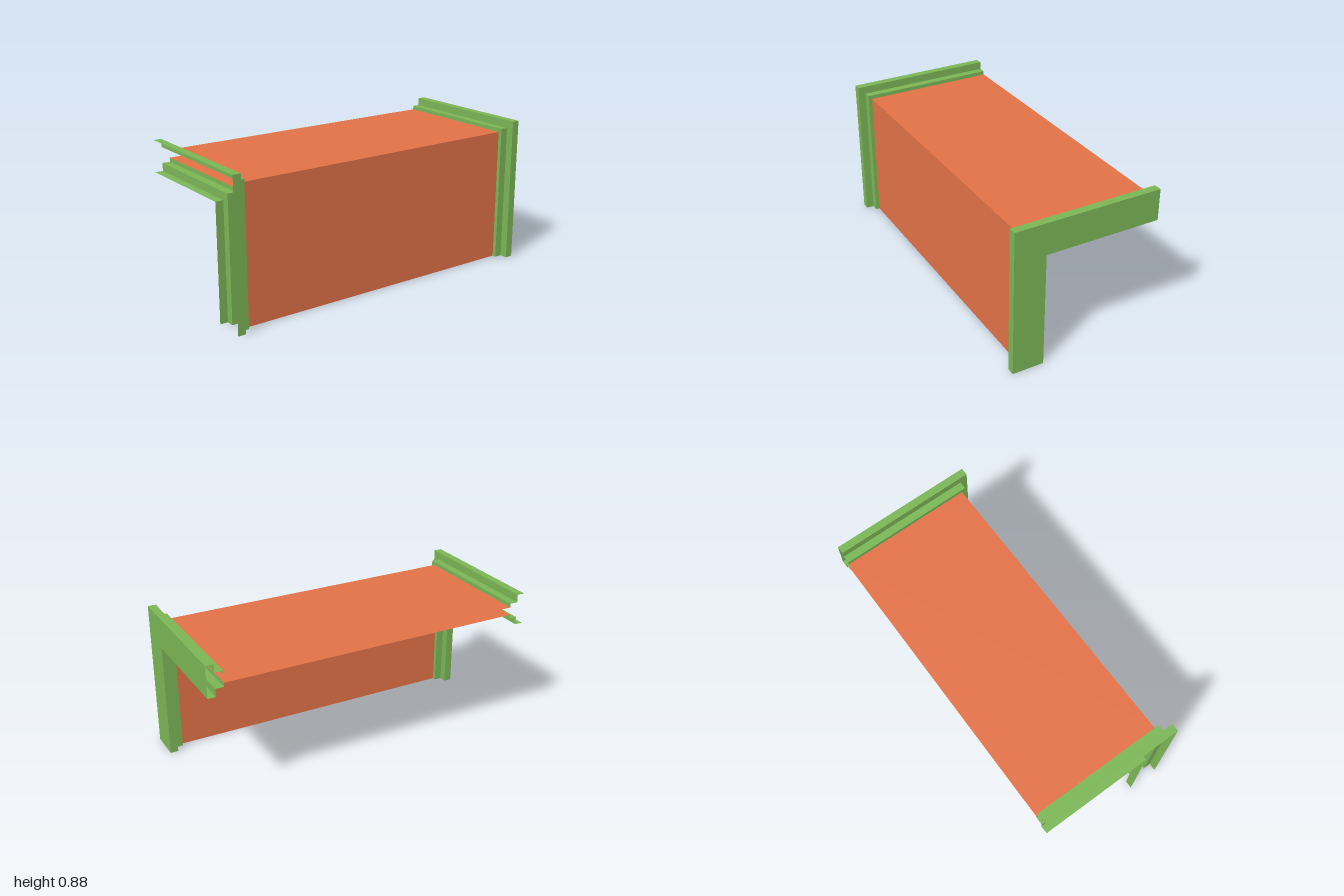
import * as THREE from 'three';

const HALF_W = 0.4375, TOP = 0.875, DEPTH = 0.1875;
const STEP = 0.0469, PANEL = 0.0703;

// Sweeps a [inset, z] profile along the corner path: across the head, then down the jamb.
function sweep(profile) {
  const path = (d) => [[-HALF_W, TOP - d], [HALF_W - d, TOP - d], [HALF_W - d, 0]];
  const pos = [];
  for (let i = 0; i < profile.length - 1; i++) {
    const [d0, z0] = profile[i], [d1, z1] = profile[i + 1];
    const p = path(d0), q = path(d1);
    for (let k = 0; k < 2; k++) {
      const a = [...p[k], z0], b = [...q[k], z1], c = [...q[k + 1], z1], e = [...p[k + 1], z0];
      pos.push(...a, ...b, ...c, ...a, ...c, ...e);
    }
  }
  const g = new THREE.BufferGeometry();
  g.setAttribute('position', new THREE.Float32BufferAttribute(pos, 3));
  g.computeVertexNormals();
  return g;
}

export function createModel() {
  const group = new THREE.Group();
  const trim = new THREE.MeshStandardMaterial({ name: 'green trim', color: 0x7bb656, side: THREE.DoubleSide });
  const panel = new THREE.MeshStandardMaterial({ name: 'terracotta panel', color: 0xe37247, side: THREE.DoubleSide });

  const add = (name, profile, material) => {
    const mesh = new THREE.Mesh(sweep(profile), material);
    mesh.name = name;
    group.add(mesh);
  };

  // Stepped moulding from the end face in to the panel, as [inset, z]
  const zStep = 1 - STEP, zPanel = 1 - 2 * STEP;
  const steps = [[0, 1], [0, zStep], [STEP, zStep], [STEP, zPanel], [PANEL, zPanel]];
  const outer = (s) => steps.map(([d, z]) => [d, z * s]);
  const inner = (s) => steps.map(([d, z]) => [DEPTH - d, z * s]);

  // Front trim: outer and inner mouldings, open at the front
  add('frontOuterTrim', outer(1).reverse(), trim);
  add('frontInnerTrim', inner(1), trim);

  // Back trim: both mouldings joined by a closed end face
  add('backTrim', [...inner(-1).reverse(), ...outer(-1)], trim);

  // Hollow lining between the two trims
  add('outerPanel', [[PANEL, -zPanel], [PANEL, zPanel]], panel);
  add('innerPanel', [[DEPTH - PANEL, zPanel], [DEPTH - PANEL, -zPanel]], panel);

  return group;
}
